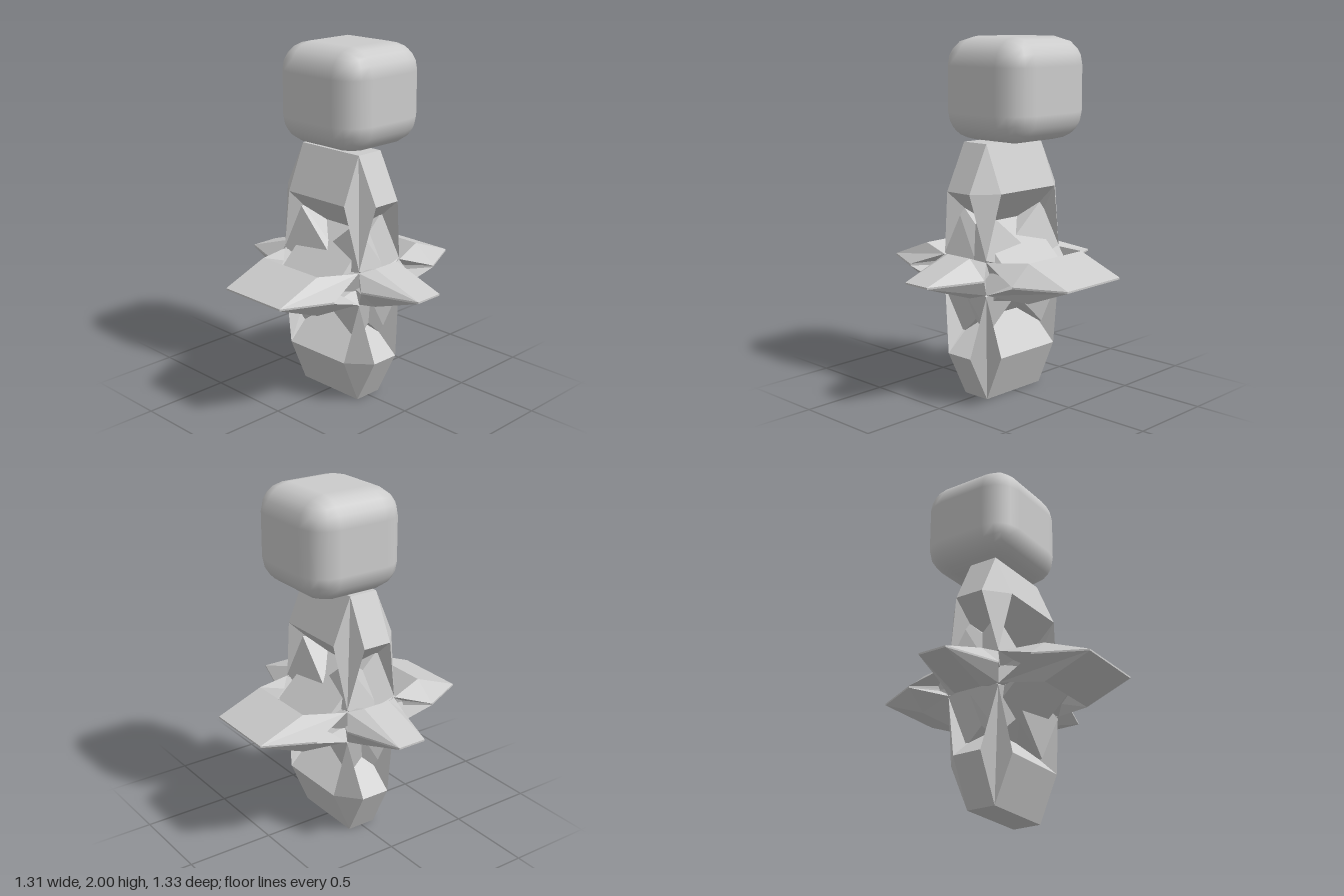
import * as THREE from 'three';
import { RoundedBoxGeometry } from 'three/addons/geometries/RoundedBoxGeometry.js';

// Points of one octant, per axis k (0 = x, 1 = y, 2 = z). The other octants are mirrored.
// They are folded past the centre, so six crystal arms cross each other.
const tip = [[0.655, -0.005, -0.085], [-0.215, 0.715, -0.085], [-0.215, -0.005, 0.665]];
// Shoulder of arm k on the edge it shares with the next / previous axis
const next = [[0.345, -0.11, -0.085], [-0.215, 0.455, -0.195], [-0.345, -0.005, 0.395]];
const prev = [[0.345, -0.005, -0.195], [-0.345, 0.455, -0.085], [-0.215, -0.11, 0.395]];
// Inner end of the chamfer of arm k
const inner = [[0.295, -0.09, -0.16], [-0.295, 0.1, -0.16], [-0.295, -0.09, 0.165]];

function crystalGeometry() {
  const positions = [];
  const at = (p, s) => p.map((v, i) => v * s[i]);
  const face = (points, flip) => {
    const p = flip ? [...points].reverse() : points;
    for (let i = 1; i < p.length - 1; i++) positions.push(...p[0], ...p[i], ...p[i + 1]);
  };
  const signs = [1, -1];

  // Chamfers and the small centre triangle of each octant
  for (const x of signs) for (const y of signs) for (const z of signs) {
    const s = [x, y, z];
    const flip = x * y * z < 0;
    for (let k = 0; k < 3; k++) {
      const n = (k + 1) % 3;
      face([tip[k], next[k], inner[k], prev[k]].map(p => at(p, s)), flip);
      face([next[k], prev[n], inner[n], inner[k]].map(p => at(p, s)), flip);
    }
    face(inner.map(p => at(p, s)), flip);
  }

  for (let k = 0; k < 3; k++) {
    const n = (k + 1) % 3, m = (k + 2) % 3;
    const sign = (a, b, c) => {
      const s = [];
      s[k] = a; s[n] = b; s[m] = c;
      return s;
    };
    // Flat ends of the two arms on this axis
    for (const a of signs) {
      const ring = [[1, 1], [-1, 1], [-1, -1], [1, -1]];
      face(ring.map(([b, c]) => at(tip[k], sign(a, b, c))), a < 0);
    }
    // Strips running along this axis, joining an arm on axis n to an arm on axis m
    const chain = [tip[n], next[n], prev[m], tip[m]];
    for (const b of signs) for (const c of signs) {
      const lo = sign(-1, b, c), hi = sign(1, b, c);
      for (let i = 0; i < 3; i++) {
        face([at(chain[i], lo), at(chain[i + 1], lo), at(chain[i + 1], hi), at(chain[i], hi)], b * c < 0);
      }
    }
  }

  const geometry = new THREE.BufferGeometry();
  geometry.setAttribute('position', new THREE.Float32BufferAttribute(positions, 3));
  geometry.computeVertexNormals();
  return geometry;
}

export function createModel() {
  const model = new THREE.Group();
  model.name = 'crystalFigure';

  // Faceted star body
  const body = new THREE.Mesh(
    crystalGeometry(),
    new THREE.MeshStandardMaterial({ color: 0xcccccc, flatShading: true, side: THREE.DoubleSide })
  );
  body.name = 'crystalBody';
  body.position.y = 0.717;
  model.add(body);

  // Rounded block floating on top
  const head = new THREE.Mesh(
    new RoundedBoxGeometry(0.62, 0.56, 0.595, 2, 0.155),
    new THREE.MeshStandardMaterial({ color: 0xcccccc })
  );
  head.name = 'roundedHead';
  head.position.set(-0.015, 1.72, -0.08);
  model.add(head);

  return model;
}
